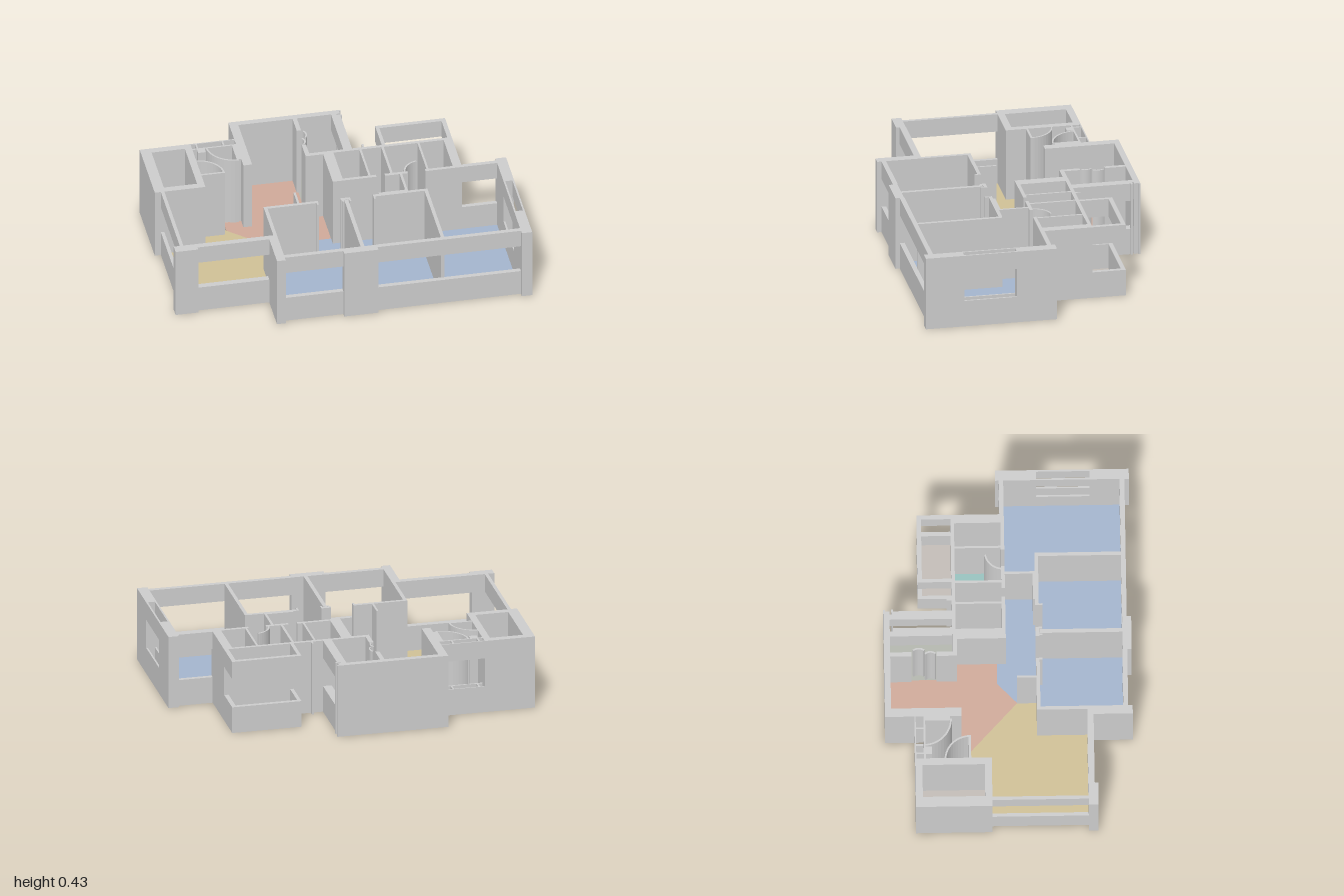
import * as THREE from 'three';

const H = 0.43, SILL = 0.155, HEAD = 0.325;
const grey = new THREE.MeshStandardMaterial({ color: 0xcccccc, flatShading: true });

export function createModel() {
  const model = new THREE.Group();

  const box = (parent, name, x0, x1, z0, z1, y0 = 0, y1 = H) => {
    const m = new THREE.Mesh(new THREE.BoxGeometry(x1 - x0, y1 - y0, z1 - z0), grey);
    m.position.set((x0 + x1) / 2, (y0 + y1) / 2, (z0 + z1) / 2);
    m.name = name;
    parent.add(m);
  };
  const group = (name) => {
    const g = new THREE.Group();
    g.name = name;
    model.add(g);
    return g;
  };

  // Flat plan outline [x, z] raised between two heights
  const slab = (parent, name, points, y0, y1, material) => {
    const shape = new THREE.Shape(points.map(([x, z]) => new THREE.Vector2(x, -z)));
    const geo = new THREE.ExtrudeGeometry(shape, { depth: y1 - y0, bevelEnabled: false });
    geo.rotateX(-Math.PI / 2);
    const m = new THREE.Mesh(geo, material);
    m.position.y = y0;
    m.name = name;
    parent.add(m);
  };
  const rect = (x0, x1, z0, z1) => [[x0, z0], [x1, z0], [x1, z1], [x0, z1]];

  // Floors, one colour per zone
  const floors = group('floors');
  const floor = (name, color, points) => slab(floors, name, points, 0.003, 0.008,
    new THREE.MeshStandardMaterial({ color }));
  floor('livingFloor', 0xcfc096, [[-0.95, -0.1], [-0.71, -0.1], [-0.71, -0.48], [-0.56, -0.25],
    [-0.235, 0.05], [-0.23, 0.16], [-0.43, 0.16], [-0.43, 0.45], [-0.95, 0.45]]);
  floor('kitchenFloor', 0xcfa999, [[-0.41, -0.66], [-0.09, -0.66], [-0.09, -0.29], [0, -0.29],
    [0, -0.06], [-0.12, -0.06], [-0.235, 0.05], [-0.56, -0.25], [-0.56, -0.33], [-0.41, -0.33]]);
  floor('bedroomFloor', 0xa3b4cd, [[-0.12, -0.06], [0, -0.06], [0, -0.02], [0.94, -0.02], [0.94, 0.65],
    [-0.41, 0.65], [-0.41, 0.16], [-0.23, 0.16], [-0.235, 0.05]]);
  floor('bathroomFloor', 0x97c1be, rect(0.06, 0.69, -0.29, -0.02));
  floor('utilityFloor', 0xb3b6ae, rect(-0.09, 0.13, -0.67, -0.31));
  floor('leftBalconyFloor', 0xc2bcb6, rect(-0.95, -0.74, -0.5, -0.13));
  floor('backBalconyFloor', 0xc2bcb6, rect(0.35, 0.72, -0.48, -0.3));
  floor('showerFloor', 0xc2bcb6, rect(-0.65, -0.46, -0.47, -0.33));
  floor('closetFloor', 0xc2bcb6, rect(-0.71, -0.58, -0.34, -0.22));

  // Full-height outer walls and columns
  const outer = group('outerWalls');
  [
    [-1, -0.71, -0.53, -0.49], [-0.98, -0.94, -0.49, -0.14], [-1, -0.98, -0.53, -0.1],
    [-0.75, -0.71, -0.49, -0.14], [-0.98, -0.71, -0.14, -0.1],
    [-1, -0.87, 0.44, 0.495], [-0.46, -0.41, 0.44, 0.695],
    [-0.46, -0.41, -0.695, -0.265], [-0.41, 0.17, -0.695, -0.66],
    [0.16, 0.18, -0.695, -0.685], [0.15, 0.18, -0.65, -0.64],
    [-0.075, 0.12, 0.645, 0.695], [0.94, 1, 0.475, 0.695], [0.94, 1, -0.055, 0.175],
    [0.69, 0.74, -0.31, -0.01], [0, 0.06, -0.31, -0.01],
  ].forEach((w) => box(outer, 'outerWall', ...w));

  // Window walls: sill and lintel with an open strip between
  const windows = group('windowWalls');
  const windowWall = (...w) => {
    box(windows, 'sillWall', ...w, 0, SILL);
    box(windows, 'lintel', ...w, HEAD, H);
  };
  [
    [-0.965, -0.945, -0.1, 0.44], [-0.87, -0.46, 0.44, 0.475],
    [-0.41, -0.075, 0.643, 0.67], [0.12, 0.94, 0.643, 0.67],
    [0.74, 0.94, -0.035, -0.01], [0.12, 0.17, -0.64, -0.31], [0.12, 0.15, -0.66, -0.64],
    [0.34, 0.74, -0.5, -0.475], [0.34, 0.36, -0.475, -0.31], [0.715, 0.74, -0.475, -0.31],
    // paired skins with a cavity
    [0.94, 0.95, 0.175, 0.475], [0.99, 1, 0.175, 0.475],
    [-0.71, -0.46, -0.53, -0.523], [-0.71, -0.46, -0.48, -0.47],
    [-0.685, -0.675, -0.523, -0.48], [-0.535, -0.525, -0.523, -0.48],
  ].forEach((w) => windowWall(...w));

  // Interior partitions
  const inner = group('partitions');
  [
    // bedrooms and hall
    [-0.43, -0.41, 0.16, 0.44], [0.028, 0.05, 0.18, 0.645], [0.487, 0.507, 0.16, 0.645],
    [-0.43, -0.12, 0.158, 0.178], [-0.13, -0.12, 0.178, 0.195],
    [0.01, 0.065, 0.158, 0.178], [0.015, 0.025, 0.178, 0.195], [0.055, 0.065, 0.178, 0.195],
    [0.195, 0.49, 0.158, 0.178], [0.195, 0.205, 0.178, 0.2],
    [-0.237, -0.225, 0.05, 0.16], [0.383, 0.397, -0.01, 0.158], [0.23, 0.385, 0.146, 0.158],
    // bathrooms
    [-0.1, 0, -0.31, -0.285], [0.06, 0.69, -0.31, -0.29], [0.06, 0.25, -0.03, -0.01],
    [0.3, 0.43, -0.03, -0.01], [0.53, 0.69, -0.03, -0.01],
    [0.208, 0.22, -0.29, -0.03], [0.333, 0.347, -0.29, -0.03], [0.54, 0.552, -0.29, -0.03],
    [0.23, 0.24, -0.34, -0.31],
    // utility room
    [-0.1, -0.075, -0.66, -0.54], [-0.1, -0.075, -0.4, -0.31],
    // entry rooms
    [-0.72, -0.71, -0.49, -0.14], [-0.71, -0.575, -0.228, -0.215],
    [-0.485, -0.46, -0.47, -0.33], [-0.685, -0.64, -0.47, -0.435],
  ].forEach((w) => box(inner, 'partition', ...w));

  // Curved partitions: quarter rings about [cx, cz], angles in plan
  const curves = group('curvedPartitions');
  const arc = (cx, cz, r, a0, a1, t = 0.01) => {
    const pts = [], n = 12;
    for (let k = 0; k <= 2 * n + 1; k++) {
      const out = k <= n, i = out ? k : 2 * n + 1 - k;
      const a = a0 + (a1 - a0) * i / n, R = out ? r : r - t;
      pts.push([cx + R * Math.cos(a), cz + R * Math.sin(a)]);
    }
    slab(curves, 'curvedPartition', pts, 0, H, grey);
  };
  const q = Math.PI / 2;
  arc(-0.475, -0.48, 0.16, q, 2 * q);
  arc(-0.72, -0.22, 0.145, 3 * q, 4 * q);
  arc(0.515, -0.02, 0.105, 2 * q, 2.9 * q);
  arc(-0.11, -0.5, 0.06, -0.6, 0.6);
  arc(-0.12, -0.435, 0.05, -0.7, 0.7);

  return model;
}
